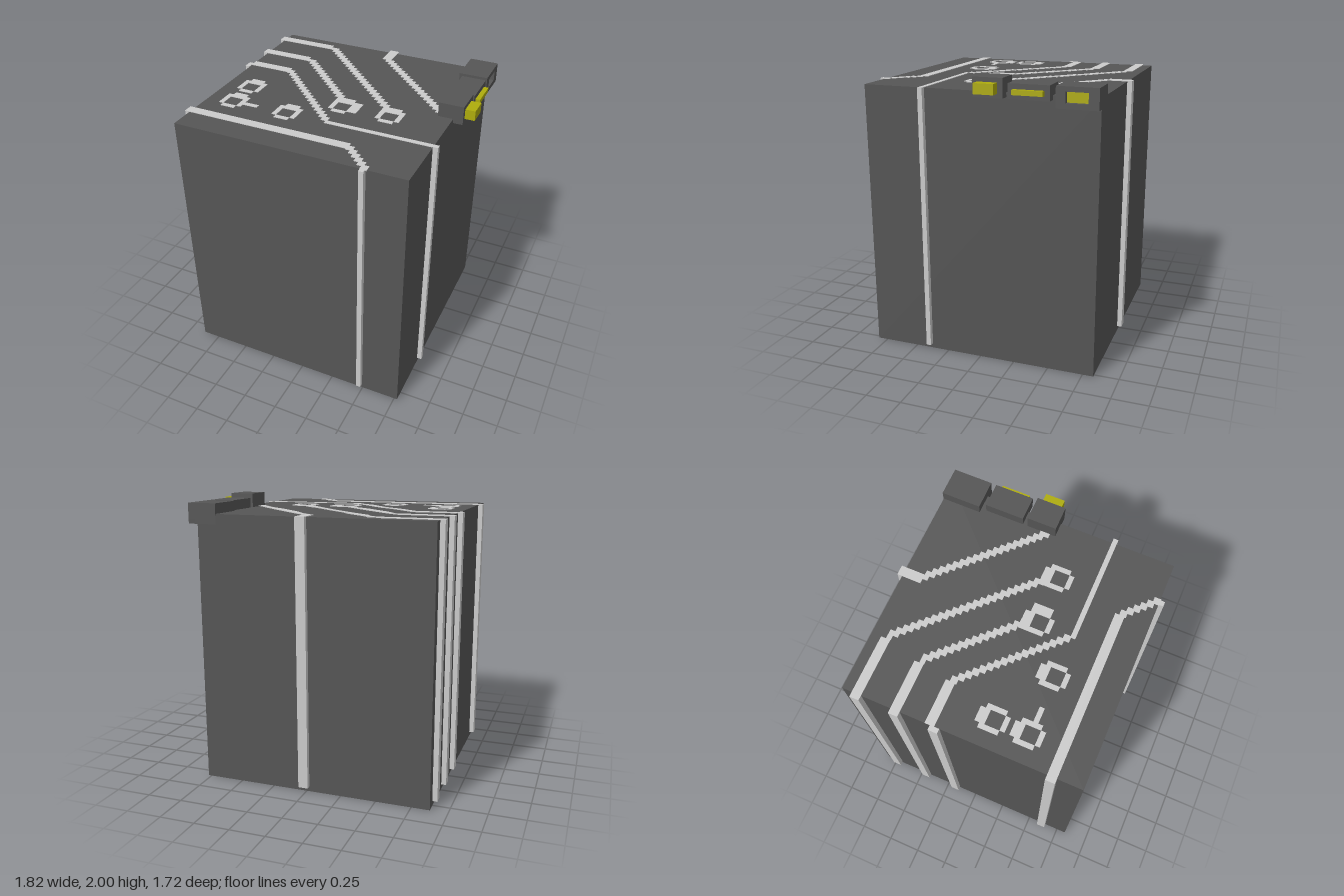
import * as THREE from 'three';

export function createModel() {
  const model = new THREE.Group();
  const dark = new THREE.MeshStandardMaterial({ color: 0x555555 });
  dark.name = 'dark grey';
  const light = new THREE.MeshStandardMaterial({ color: 0xcbcbcb });
  light.name = 'light grey';
  const yellow = new THREE.MeshStandardMaterial({ color: 0xaeac0c });
  yellow.name = 'yellow';

  const V = 0.0343; // size of one block
  const TOP = 1.9, SKIN = 1.904;
  const XL = -0.877, XR = 0.773, ZB = -0.826, ZF = 0.821;

  // Box given by its limits on each axis
  function box(parent, name, mat, x0, x1, y0, y1, z0, z1) {
    const mesh = new THREE.Mesh(new THREE.BoxGeometry(x1 - x0, y1 - y0, z1 - z0), mat);
    mesh.position.set((x0 + x1) / 2, (y0 + y1) / 2, (z0 + z1) / 2);
    mesh.name = name;
    parent.add(mesh);
  }
  function group(name) {
    const g = new THREE.Group();
    g.name = name;
    model.add(g);
    return g;
  }
  // Thin light plate on the top face
  const plate = (g, name, x0, x1, z0, z1) => box(g, name, light, x0, x1, TOP - 0.003, SKIN, z0, z1);
  // Stepped diagonal running right and forward
  function stairs(g, x, z, count, width) {
    const grow = width === 1 ? 0.2 * V : 0;
    for (let i = 0; i < count; i++) {
      plate(g, 'traceStep', x + i * V - grow, x + (i + width) * V + grow, z + i * V - grow, z + (i + 1) * V + grow);
    }
  }

  box(model, 'body', dark, XL, XR, 0, TOP, ZB, ZF);

  // Traces coming over the left edge: strip z, top z, bend x, steps, step width
  const traces = group('leftTraces');
  [
    [-0.756, -0.756, -0.465, 23, 2],
    [-0.484, -0.484, -0.53, 15, 2],
    [-0.209, -0.245, -0.565, 17, 1],
    [0.581, 0.581, 0.292, 6, 1],
  ].forEach(([sz, tz, bend, steps, width]) => {
    box(traces, 'sideStrip', light, XL - V, XL, V, SKIN, sz, sz + 2 * V - 0.003);
    plate(traces, 'topTrace', XL - 0.001, bend, tz, tz + 2 * V - 0.003);
    stairs(traces, bend, tz + V, steps, width);
  });

  // Trace over the right edge
  const right = group('rightTrace');
  plate(right, 'topTrace', 0.015, XR, 0.374, 0.408);
  box(right, 'sideStrip', light, XR, XR + V, V, SKIN, 0.374, 0.408);

  // Strip down the front
  const front = group('frontTrace');
  box(front, 'frontStrip', light, 0.462, 0.496, V, SKIN, ZF - 0.001, ZF + V);

  // Trace over the back edge
  const back = group('backTrace');
  box(back, 'backStrip', light, -0.02, 0.049, V, SKIN, ZB - V, ZB);
  plate(back, 'topTrace', -0.02, 0.049, ZB, -0.69);
  stairs(back, 0.015, -0.69, 19, 2);

  // Solder rings: left x, back z, extra blocks on the right side
  const rings = group('solderRings');
  [[-0.773, 0.032, 0], [-0.773, 0.27, 0], [-0.36, 0.27, 0], [-0.053, 0.032, 1], [0.292, 0.032, 0]].forEach(([x, z, extra]) => {
    plate(rings, 'ringBack', x + V, x + 4 * V, z, z + 2 * V);
    plate(rings, 'ringFront', x + V, x + 4 * V, z + 5 * V, z + 6 * V);
    plate(rings, 'ringLeft', x, x + V, z + V, z + 5 * V);
    plate(rings, 'ringRight', x + 4 * V, x + (5 + extra) * V, z + V, z + 5 * V);
  });
  plate(rings, 'ringCorner', -0.053, -0.018, 0.032, 0.067);
  plate(rings, 'ringCorner', 0.292, 0.327, 0.032, 0.067);
  plate(rings, 'ringLink', -0.602, -0.495, 0.374, 0.408);

  // Connectors along the right edge
  const square = group('squareConnector');
  box(square, 'housing', dark, 0.666, 0.84, 1.87, 2, -0.205, 0);
  box(square, 'plug', yellow, 0.84, 0.91, 1.9, 1.97, -0.17, -0.033);

  const slim = group('slimConnector');
  box(slim, 'housing', dark, 0.666, 0.84, 1.87, 1.97, -0.515, -0.24);
  box(slim, 'plug', yellow, 0.84, 0.873, 1.902, 1.935, -0.48, -0.275);

  // Corner connector: a framed opening with a sunken plug
  const corner = group('cornerConnector');
  box(corner, 'housingBack', dark, 0.635, 0.79, 1.83, 1.97, -0.828, -0.552);
  box(corner, 'frameTop', dark, 0.79, 0.84, 1.937, 1.97, -0.828, -0.552);
  box(corner, 'frameBottom', dark, 0.79, 0.84, 1.83, 1.865, -0.828, -0.552);
  box(corner, 'frameFront', dark, 0.79, 0.84, 1.865, 1.937, -0.615, -0.552);
  box(corner, 'frameRear', dark, 0.79, 0.84, 1.865, 1.937, -0.828, -0.76);
  box(corner, 'plug', yellow, 0.79, 0.806, 1.865, 1.937, -0.76, -0.615);

  return model;
}
